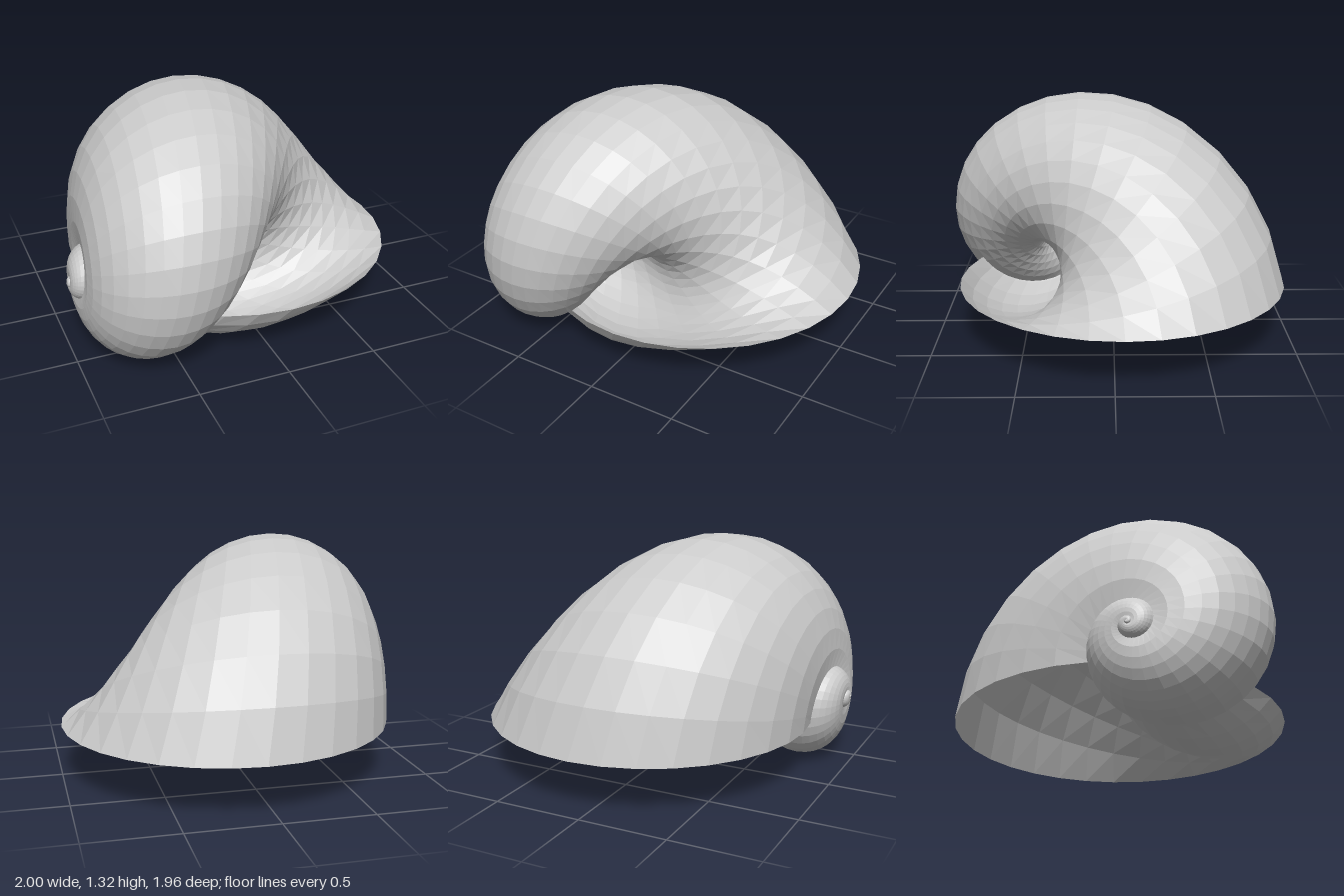
import * as THREE from 'three';

// Spiral shell: a circular section turned about an axis parallel to x and shrunk towards the apex
const APEX = new THREE.Vector3(-1, 0.4, 0.37);
const GROWTH = 0.258;        // exponential growth per radian
const TURNS = 3.5;
const STEPS_PER_TURN = 30;
const SIDES = 32;
const RADIUS = 0.93;         // aperture radius
const OFFSET = { radial: 0.42, axial: 1.07, forward: 0.11 }; // aperture centre from the apex

function shellPoint(back, phi) {
  const s = Math.exp(-GROWTH * back);
  const c = Math.cos(back), n = Math.sin(back);
  const r = OFFSET.radial + RADIUS * Math.cos(phi);
  const f = OFFSET.forward;
  return [
    APEX.x + s * (OFFSET.axial + RADIUS * Math.sin(phi)),
    APEX.y + s * (r * n - f * c),
    APEX.z + s * (-r * c - f * n),
  ];
}

function shellGeometry() {
  const steps = Math.round(TURNS * STEPS_PER_TURN);
  const positions = [], index = [];
  // Sections from the apex to the aperture
  for (let i = 0; i <= steps; i++) {
    const back = (steps - i) * 2 * Math.PI / STEPS_PER_TURN;
    for (let j = 0; j < SIDES; j++) {
      positions.push(...shellPoint(back, j * 2 * Math.PI / SIDES));
    }
  }
  // Quads between neighbouring sections
  for (let i = 0; i < steps; i++) {
    for (let j = 0; j < SIDES; j++) {
      const k = (j + 1) % SIDES;
      const a = i * SIDES + j, b = i * SIDES + k;
      index.push(a, b, a + SIDES, b, b + SIDES, a + SIDES);
    }
  }
  const geometry = new THREE.BufferGeometry();
  geometry.setAttribute('position', new THREE.Float32BufferAttribute(positions, 3));
  geometry.setIndex(index);
  geometry.computeVertexNormals();
  return geometry;
}

export function createModel() {
  const group = new THREE.Group();
  group.name = 'spiralShell';
  const material = new THREE.MeshStandardMaterial({
    color: 0xcccccc, flatShading: true, side: THREE.DoubleSide,
  });
  const shell = new THREE.Mesh(shellGeometry(), material);
  shell.name = 'shellWall';
  group.add(shell);
  return group;
}
